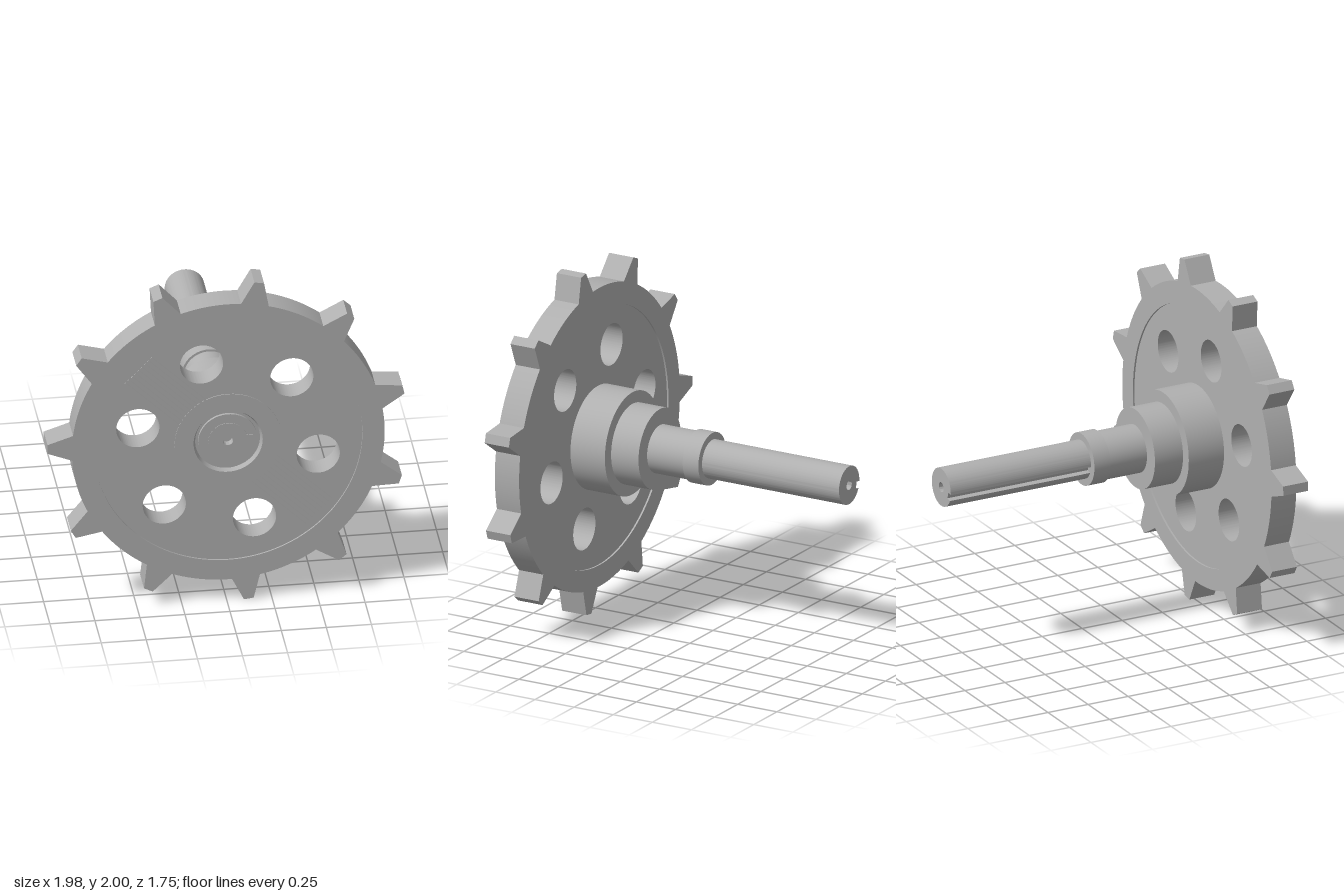
import * as THREE from 'three';
import { toCreasedNormals } from 'three/addons/utils/BufferGeometryUtils.js';

const steel = new THREE.MeshStandardMaterial({ color: 0xb0b0b0 });
steel.name = 'grey steel';
const rad = THREE.MathUtils.degToRad;

function addPart(group, name, geometry) {
  const mesh = new THREE.Mesh(geometry, steel);
  mesh.name = name;
  group.add(mesh);
  return mesh;
}

// Plate cut from a shape, spanning z0 to z1
function plate(shape, z0, z1) {
  const g = new THREE.ExtrudeGeometry(shape, { depth: z1 - z0, bevelEnabled: false, curveSegments: 64 });
  return toCreasedNormals(g.translate(0, 0, z0), 0.5);
}

// Surface of revolution about z from [radius, z] pairs
function turned(pairs) {
  const g = new THREE.LatheGeometry(pairs.map(([r, z]) => new THREE.Vector2(r, z)), 64);
  return toCreasedNormals(g.rotateX(Math.PI / 2), 0.5);
}

function circle(r, x = 0, y = 0) {
  return new THREE.Path().absarc(x, y, r, 0, Math.PI * 2, false);
}

// Toothed outline: short root arcs joined by tapered teeth
function toothedShape() {
  const teeth = 11, step = Math.PI * 2 / teeth, root = 0.868, tip = 1.005;
  const halfRoot = 0.09, halfTip = 0.027;
  const shape = new THREE.Shape();
  for (let i = 0; i < teeth; i++) {
    const a = rad(14.7) + i * step;
    const corners = [[root, -halfRoot], [tip, -halfTip], [tip, halfTip], [root, halfRoot]];
    corners.forEach(([r, d], k) => {
      const x = r * Math.cos(a + d), y = r * Math.sin(a + d);
      if (i === 0 && k === 0) shape.moveTo(x, y);
      else shape.lineTo(x, y);
    });
    shape.absarc(0, 0, root, a + halfRoot, a + step - halfRoot, false);
  }
  return shape;
}

export function createModel() {
  const model = new THREE.Group();
  model.name = 'sprocketWheel';
  const wheel = new THREE.Group();
  wheel.name = 'wheelAndShaft';
  wheel.position.set(0.008, 1.005, 0);
  model.add(wheel);

  // Toothed rim
  const rim = toothedShape();
  rim.holes.push(circle(0.745));
  addPart(wheel, 'toothedRim', plate(rim, 0.72, 0.875));

  // Slightly recessed web with six round holes
  const web = new THREE.Shape().absarc(0, 0, 0.75, 0, Math.PI * 2, false);
  web.holes.push(circle(0.28));
  for (let i = 0; i < 6; i++) {
    const a = rad(46.6 + i * 60);
    web.holes.push(circle(0.12, 0.515 * Math.cos(a), 0.515 * Math.sin(a)));
  }
  addPart(wheel, 'web', plate(web, 0.73, 0.865));

  // Stepped hub with collar, front recess and centre hole
  addPart(wheel, 'steppedHub', turned([
    [0, 0], [0.15, 0], [0.15, 0.1], [0.137, 0.1], [0.137, 0.335],
    [0.23, 0.335], [0.23, 0.51], [0.297, 0.51], [0.297, 0.87],
    [0.192, 0.87], [0.18, 0.845], [0.165, 0.845], [0.165, 0.86],
    [0.028, 0.86], [0.028, 0.82], [0, 0.82],
  ]));

  // Shaft end showing in the front recess, with its key
  addPart(wheel, 'shaftFace', turned([[0.11, 0.855], [0.11, 0.863], [0.028, 0.863], [0.028, 0.855]]));
  const key = addPart(wheel, 'key', new THREE.BoxGeometry(0.035, 0.07, 0.008));
  key.position.set(0.12, -0.005, 0.861);

  // Shaft with a keyway along its side and a drilled end
  const slot = rad(195), half = 0.18, depth = 0.08;
  const section = new THREE.Shape();
  section.absarc(0, 0, 0.11, slot + half, slot - half + Math.PI * 2, false);
  for (const s of [-1, 1]) {
    const w = 0.11 * Math.sin(half) * s;
    section.lineTo(depth * Math.cos(slot) - w * Math.sin(slot), depth * Math.sin(slot) + w * Math.cos(slot));
  }
  section.closePath();
  section.holes.push(circle(0.028));
  addPart(wheel, 'shaft', plate(section, -0.875, 0.01));

  // Two bands of fine ridges on opposite sides of the hub
  for (const [side, angle] of [['upper', 136], ['lower', -44]]) {
    const band = new THREE.Group();
    band.name = side + 'RidgeBand';
    band.rotation.z = rad(angle);
    for (let i = -4; i <= 4; i++) {
      const ridge = addPart(band, 'ridge', new THREE.BoxGeometry(0.42, 0.012, 0.006));
      ridge.position.set(0.485, i * 0.026, 0.867);
    }
    wheel.add(band);
  }
  return model;
}
